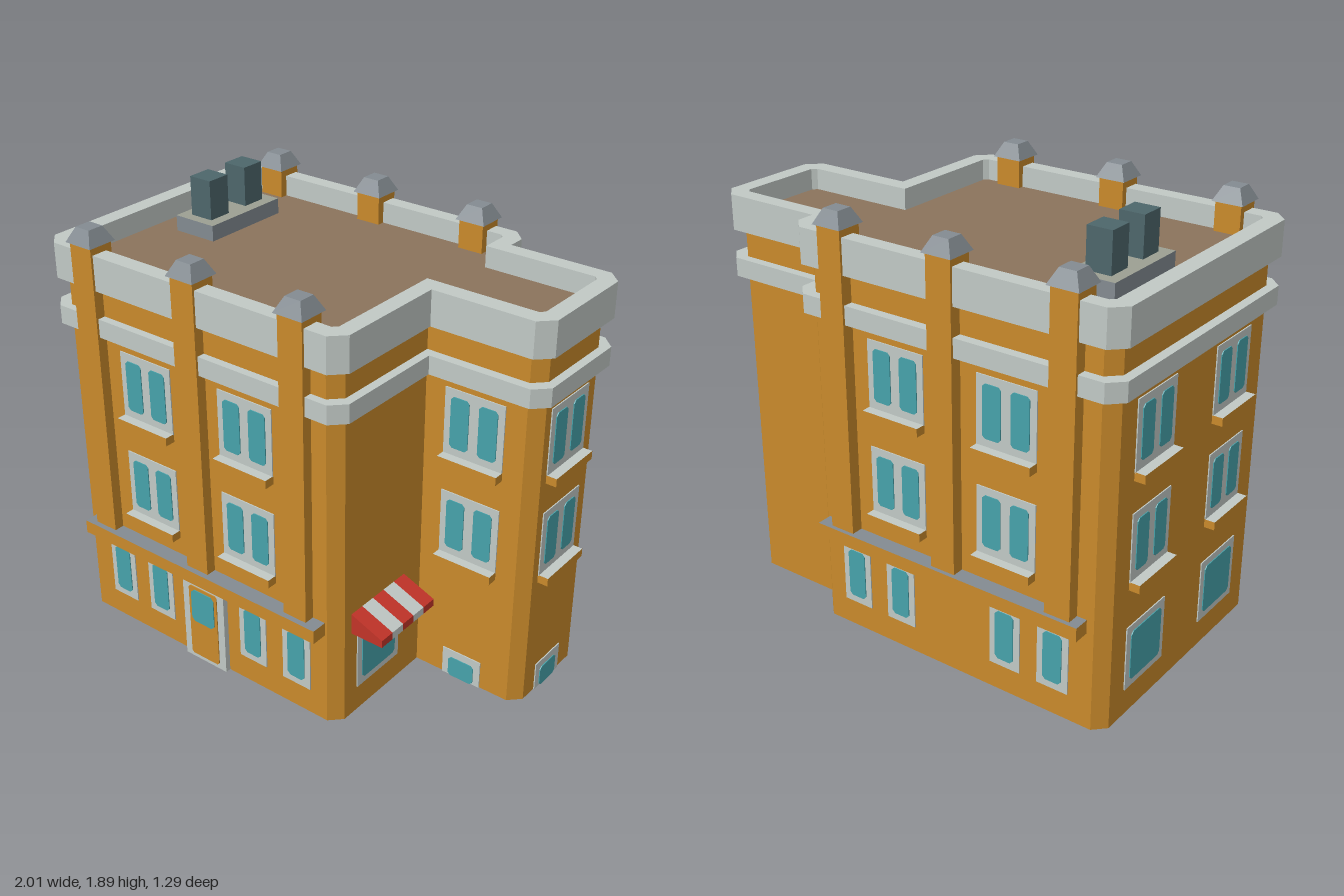
import * as THREE from 'three';

const mat = (name, color) => {
  const m = new THREE.MeshStandardMaterial({ color });
  m.name = name;
  return m;
};

export function createModel() {
  const wall = mat('ochre wall', 0xc98a2b);
  const trim = mat('pale trim', 0xc1c9c5);
  const glass = mat('teal glass', 0x46a2aa);
  const roofing = mat('brown roof', 0x8b735c);
  const grey = mat('grey stone', 0x838b91);
  const slab = mat('slab top', 0x9c9f92);
  const steel = mat('dark chimney', 0x4d666b);
  const red = mat('awning red', 0xc23428);

  const model = new THREE.Group();
  model.name = 'apartmentBuilding';

  const add = (parent, name, geo, material, x = 0, y = 0, z = 0) => {
    const m = new THREE.Mesh(geo, material);
    m.name = name;
    m.position.set(x, y, z);
    parent.add(m);
    return m;
  };
  const box = (parent, name, w, h, d, material, x, y, z) =>
    add(parent, name, new THREE.BoxGeometry(w, h, d), material, x, y, z);
  // Box materials with a different colour on the top face
  const topped = (side, top) => [side, side, top, side, side, side];

  // Footprint: main block plus side wing, corners chamfered by c
  const footprint = (x0, x1, x2, zf, zb, wf, wb, c) => [
    [x0 + c, zf], [x1 - c, zf], [x1, zf - c], [x1, wf],
    [x2 - c, wf], [x2, wf - c], [x2, wb + c], [x2 - c, wb],
    [x1, wb], [x1, zb + c], [x1 - c, zb], [x0 + c, zb], [x0, zb + c], [x0, zf - c],
  ].map(([x, z]) => new THREE.Vector2(x, -z));
  const prism = (points, y0, y1, hole) => {
    const s = new THREE.Shape(points);
    if (hole) s.holes.push(new THREE.Path(hole));
    return new THREE.ExtrudeGeometry(s, { depth: y1 - y0, bevelEnabled: false })
      .rotateX(-Math.PI / 2).translate(0, y0, 0);
  };

  // Walls, roof and the two trim bands
  const wallLine = footprint(-0.96, 0.452, 0.955, 0.58, -0.573, 0.025, -0.44, 0.05);
  const bandLine = footprint(-1, 0.49, 0.992, 0.615, -0.615, 0.067, -0.48, 0.058);
  const innerLine = footprint(-0.925, 0.418, 0.92, 0.543, -0.548, -0.008, -0.41, 0.018);
  add(model, 'walls', prism(wallLine, 0, 1.62), wall);
  add(model, 'roof', prism(innerLine, 1.61, 1.66), roofing);
  add(model, 'parapet', prism(bandLine, 1.6, 1.75, innerLine), trim);
  add(model, 'cornice', prism(bandLine, 1.4, 1.48), trim);

  // Thin plate on a wall, centred on x, from y0 to y1, with clipped corners
  const plate = (parent, name, x, y0, w, h, d, material, c = 0, z = 0) => {
    const s = new THREE.Shape();
    const a = w / 2;
    if (c) {
      s.setFromPoints([[-a + c, 0], [a - c, 0], [a, c], [a, h - c], [a - c, h],
        [-a + c, h], [-a, h - c], [-a, c]].map(p => new THREE.Vector2(...p)));
    } else {
      s.setFromPoints([[-a, 0], [a, 0], [a, h], [-a, h]].map(p => new THREE.Vector2(...p)));
    }
    add(parent, name, new THREE.ExtrudeGeometry(s, { depth: d, bevelEnabled: false }), material, x, y0, z);
  };

  // A facade group faces its local +z
  const facade = (name, x, z, ry) => {
    const g = new THREE.Group();
    g.name = name;
    g.position.set(x, 0, z);
    g.rotation.y = ry;
    model.add(g);
    return g;
  };
  const doubleWindows = (f, x) => {
    for (const y of [0.6, 1.06]) {
      plate(f, 'windowFrame', x, y, 0.27, 0.292, 0.005, trim);
      for (const s of [-1, 1]) plate(f, 'windowPane', x + s * 0.064, y + 0.038, 0.083, 0.222, 0.009, glass, 0.012);
      box(f, 'windowSill', 0.27, 0.036, 0.046, topped(wall, trim), x, y - 0.014, 0.023);
    }
  };
  const singleWindow = (f, x, w) => {
    plate(f, 'lowerWindowFrame', x, 0.118, w, 0.282, 0.005, trim);
    plate(f, 'lowerWindowPane', x, 0.15, w - 0.057, 0.22, 0.009, glass, 0.014);
  };
  const basementWindow = (f, x) => {
    plate(f, 'basementFrame', x, 0, 0.185, 0.128, 0.005, trim);
    plate(f, 'basementPane', x, 0, 0.122, 0.094, 0.009, glass, 0.012);
  };

  const front = facade('frontFacade', 0, 0.58, 0);
  const back = facade('backFacade', 0, -0.573, Math.PI);
  const left = facade('endFacade', -0.96, 0, -Math.PI / 2);
  const shop = facade('shopFacade', 0.452, 0, Math.PI / 2);
  const wingFront = facade('wingFrontFacade', 0, 0.025, 0);
  const wingSide = facade('wingSideFacade', 0.955, 0, Math.PI / 2);

  // Long facades: windows, ledge and capped pilasters
  for (const [f, s] of [[front, 1], [back, -1]]) {
    for (const x of [-0.51, 0.01]) doubleWindows(f, s * x);
    for (const x of [-0.732, -0.507, 0.015, 0.247]) singleWindow(f, s * x, 0.143);
    box(f, 'ledge', 1.27, 0.06, 0.07, topped(wall, grey), s * -0.243, 0.457, 0.035);
    for (const x of [-0.778, -0.243, 0.276]) {
      box(model, 'pilaster', 0.113, 1.3, 0.11, wall, x, 1.137, s * 0.57);
      const cap = new THREE.CylinderGeometry(0.036 * Math.SQRT2, 0.0675 * Math.SQRT2, 0.062, 4, 1)
        .rotateY(Math.PI / 4).toNonIndexed();
      cap.computeVertexNormals();
      add(model, 'pilasterCap', cap, grey, x, 1.814, s * 0.57);
    }
  }
  for (const x of [-0.285, 0.285]) {
    doubleWindows(left, x);
    singleWindow(left, x, 0.277);
  }
  doubleWindows(wingFront, 0.68);
  doubleWindows(wingSide, 0.2);
  basementWindow(wingFront, 0.68);
  basementWindow(wingSide, 0.2);
  singleWindow(shop, -0.313, 0.277);

  // Entrance door
  box(front, 'doorFrame', 0.227, 0.412, 0.025, trim, -0.239, 0.206, 0.0125);
  plate(front, 'door', -0.239, 0.02, 0.155, 0.355, 0.004, wall, 0.01, 0.025);
  plate(front, 'doorPane', -0.239, 0.2, 0.125, 0.16, 0.008, glass, 0.016, 0.025);

  // Striped awning over the shop window
  const profile = new THREE.Shape([[0.45, 0.41], [0.602, 0.41], [0.602, 0.443], [0.45, 0.503]]
    .map(p => new THREE.Vector2(...p)));
  for (let i = 0; i < 5; i++) {
    add(model, 'awningStripe', new THREE.ExtrudeGeometry(profile, { depth: 0.07, bevelEnabled: false }),
      i % 2 ? trim : red, 0, 0, 0.138 + i * 0.07);
  }

  // Rooftop chimneys on their slab
  box(model, 'chimneySlab', 0.203, 0.07, 0.415, topped(grey, slab), -0.71, 1.692, -0.151);
  for (const z of [-0.256, -0.043]) box(model, 'chimney', 0.108, 0.17, 0.108, steel, -0.711, 1.81, z);

  return model;
}
